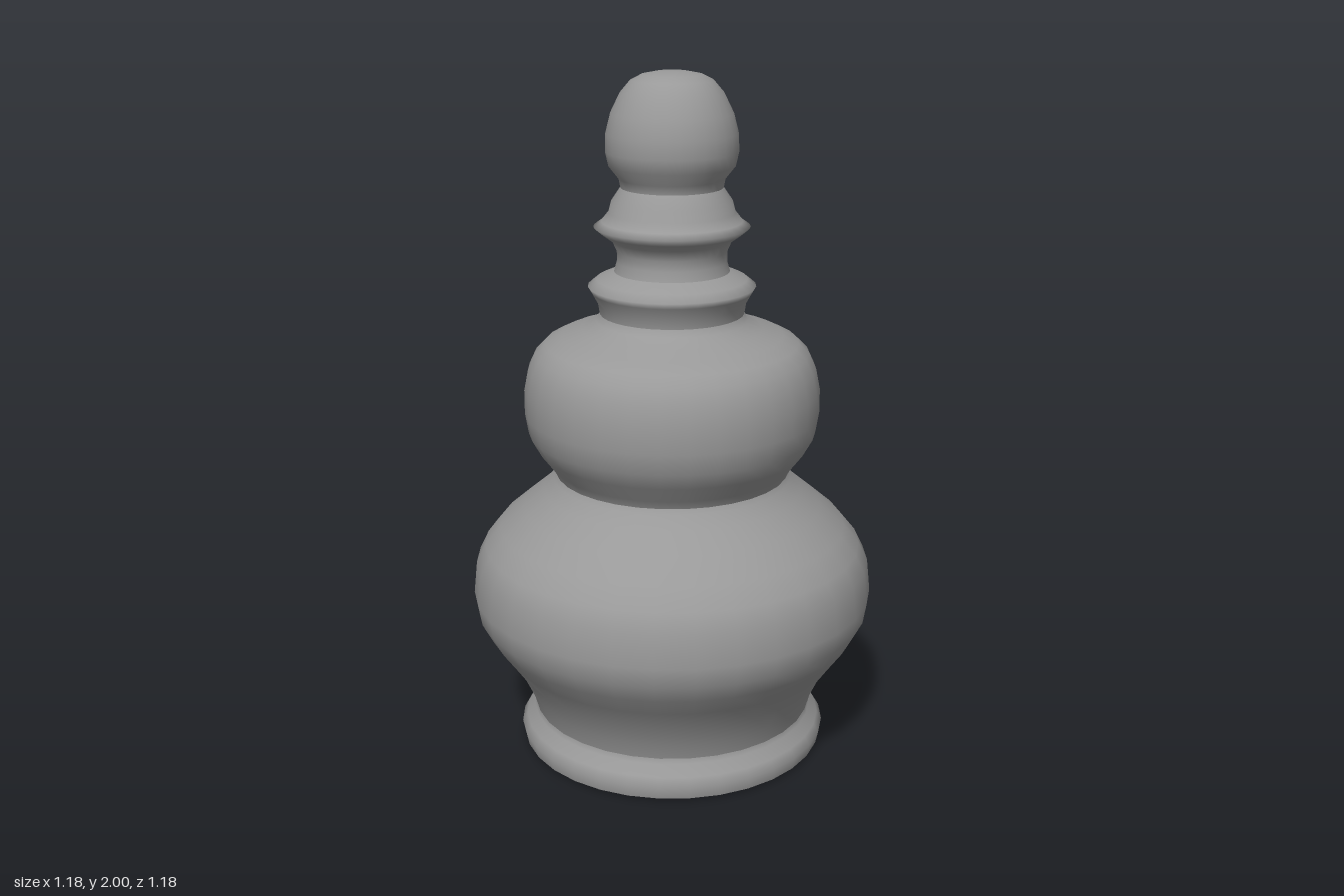
import * as THREE from 'three';

const SIDES = 32;

export function createModel() {
  const group = new THREE.Group();
  const grey = new THREE.MeshStandardMaterial({ color: 0x999999 });
  grey.name = 'grey';

  // Revolves [radius, height] points, listed from bottom to top
  const turn = (name, profile) => {
    const points = profile.map(([r, y]) => new THREE.Vector2(r, y));
    const mesh = new THREE.Mesh(new THREE.LatheGeometry(points, SIDES), grey);
    mesh.name = name;
    group.add(mesh);
  };

  // Flat underside
  turn('underside', [[0, 0], [0.452, 0.008]]);

  // Flared foot
  turn('foot', [[0.452, 0.008], [0.46, 0.045], [0.445, 0.07], [0.42, 0.1], [0.416, 0.115]]);

  // Wide lower bulb, narrowing to the waist
  turn('lowerBulb', [
    [0.416, 0.115], [0.43, 0.165], [0.465, 0.24], [0.51, 0.305], [0.553, 0.365],
    [0.582, 0.42], [0.592, 0.48], [0.582, 0.575], [0.555, 0.63], [0.51, 0.685],
    [0.44, 0.745], [0.38, 0.795], [0.348, 0.83], [0.34, 0.845],
  ]);

  // Smaller upper bulb with its shoulder
  turn('upperBulb', [
    [0.34, 0.845], [0.352, 0.87], [0.39, 0.92], [0.418, 0.97], [0.428, 1.03],
    [0.428, 1.1], [0.416, 1.16], [0.395, 1.205], [0.365, 1.235], [0.32, 1.257],
    [0.26, 1.277], [0.218, 1.3], [0.207, 1.32],
  ]);

  // Lower collar
  turn('lowerCollar', [
    [0.207, 1.32], [0.212, 1.35], [0.23, 1.383], [0.24, 1.4], [0.215, 1.42], [0.165, 1.442],
  ]);

  // Neck and the sharp ring above it
  turn('neckRing', [
    [0.165, 1.442], [0.157, 1.47], [0.157, 1.5], [0.17, 1.53], [0.198, 1.55],
    [0.222, 1.57], [0.2, 1.585], [0.18, 1.61], [0.172, 1.64], [0.145, 1.68],
  ]);

  // Rounded finial
  turn('finial', [
    [0.145, 1.68], [0.15, 1.705], [0.178, 1.74], [0.187, 1.78], [0.186, 1.83],
    [0.172, 1.885], [0.145, 1.94], [0.115, 1.975], [0.085, 1.99], [0.045, 1.998], [0, 2],
  ]);

  return group;
}
